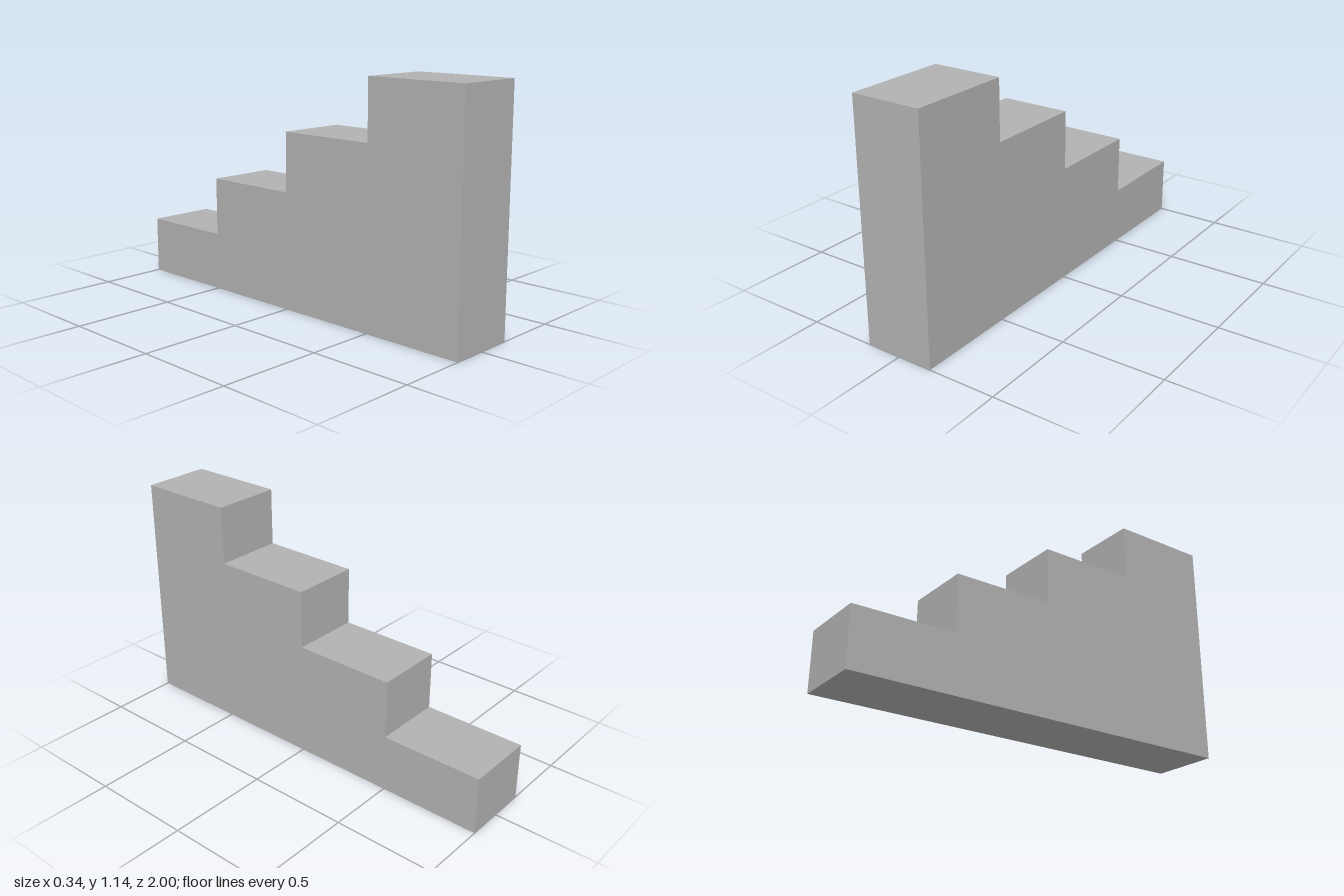
import * as THREE from 'three';

const STEPS = 4, RUN = 0.5, RISE = 2 / 7, WIDTH = 0.343;

export function createModel() {
  const group = new THREE.Group();
  group.name = 'staircase';

  const grey = new THREE.MeshStandardMaterial({ color: 0xb2b2b2 });
  grey.name = 'plain grey';

  // Side profile: shape x is the model's z, with the tallest step at the front
  const profile = new THREE.Shape();
  profile.moveTo(-1, 0);
  profile.lineTo(1, 0);
  for (let i = STEPS; i > 0; i--) {
    const back = -1 + (i - 1) * RUN;
    profile.lineTo(back + RUN, i * RISE);
    profile.lineTo(back, i * RISE);
  }
  profile.closePath();

  // Solid flight of steps, extruded across its width
  const geometry = new THREE.ExtrudeGeometry(profile, { depth: WIDTH, bevelEnabled: false });
  geometry.translate(0, 0, -WIDTH / 2);
  geometry.rotateY(-Math.PI / 2);
  const steps = new THREE.Mesh(geometry, grey);
  steps.name = 'steps';
  group.add(steps);

  return group;
}
